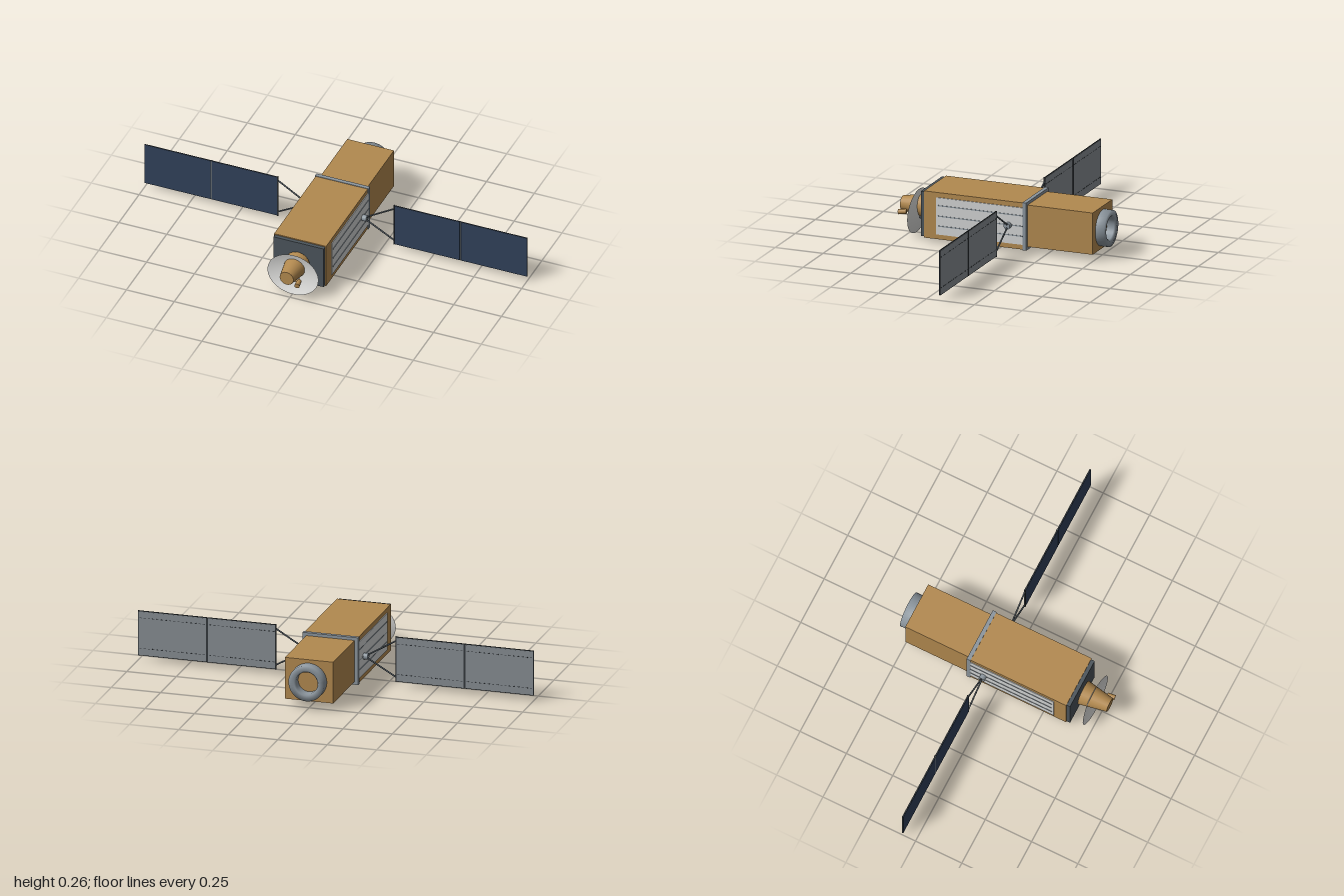
import * as THREE from 'three';

export function createModel() {
  const model = new THREE.Group();
  const mat = (name, color, side = THREE.FrontSide) => {
    const m = new THREE.MeshStandardMaterial({ color, side });
    m.name = name;
    return m;
  };
  const gold = mat('gold foil', 0xb2894f);
  const slate = mat('dark slate', 0x4b545b);
  const steel = mat('steel grey', 0x8b959d);
  const silver = mat('radiator silver', 0xd2d4d4);
  const white = mat('dish white', 0xdcdcda, THREE.DoubleSide);
  const blue = mat('solar blue', 0x31415a);
  const backing = mat('panel backing grey', 0x868d92);
  const dark = mat('dark trim', 0x33383c);

  const add = (name, geometry, material, x = 0, y = 0, z = 0, parent = model) => {
    const mesh = new THREE.Mesh(geometry, material);
    mesh.name = name;
    mesh.position.set(x, y, z);
    parent.add(mesh);
    return mesh;
  };
  const box = (name, w, h, d, material, x, y, z, parent) =>
    add(name, new THREE.BoxGeometry(w, h, d), material, x, y, z, parent);
  // Round rod between two points
  const rod = (name, a, b, r, material, parent, r2 = r) => {
    const from = new THREE.Vector3(...a), to = new THREE.Vector3(...b);
    const dir = to.clone().sub(from);
    const mesh = add(name, new THREE.CylinderGeometry(r2, r, dir.length(), 24), material, 0, 0, 0, parent);
    mesh.position.copy(from).add(to).multiplyScalar(0.5);
    mesh.quaternion.setFromUnitVectors(new THREE.Vector3(0, 1, 0), dir.normalize());
    return mesh;
  };

  const midY = 0.142;

  // Bus
  box('mainBody', 0.272, 0.235, 0.53, gold, 0, midY, 0.11);
  box('rearBody', 0.244, 0.21, 0.36, gold, 0, midY, -0.32);
  box('frontPlate', 0.262, 0.225, 0.02, slate, 0, midY, 0.384);
  box('belt', 0.28, 0.24, 0.02, steel, 0, midY, -0.15);

  // Docking ring with an open centre
  const ring = [[0.055, 0], [0.055, 0.036], [0.062, 0.045], [0.09, 0.045], [0.09, 0]]
    .map(([r, h]) => new THREE.Vector2(r, h));
  const ringGeo = new THREE.LatheGeometry(ring.reverse(), 40);
  const ringMesh = add('rearRing', ringGeo, steel, 0, 0.14, -0.5);
  ringMesh.rotation.x = -Math.PI / 2;

  // Dish: shallow elliptical bowl opening forward, tipped slightly
  const bowl = [];
  for (let i = 0; i <= 8; i++) {
    const r = i / 8;
    bowl.push(new THREE.Vector2(r, 0.022 * r * r));
  }
  const dishGeo = new THREE.LatheGeometry(bowl, 48);
  dishGeo.rotateX(Math.PI / 2);
  dishGeo.scale(0.133, 0.11, 1);
  const dish = add('dish', dishGeo, white, 0, 0.111, 0.442);
  dish.rotation.x = -0.065;

  // Horn through the dish, its mount and small side feed
  rod('horn', [0, midY, 0.4], [0, midY, 0.543], 0.062, gold, model, 0.036);
  rod('hornMount', [0, 0.1, 0.39], [0, 0.1, 0.41], 0.012, slate);
  rod('sideFeed', [0.05, 0.116, 0.503], [0.054, 0.112, 0.543], 0.011, gold, model, 0.013);
  rod('feedLink', [0.025, 0.125, 0.51], [0.052, 0.114, 0.515], 0.006, gold);
  for (const s of [-1, 1])
    rod('dishStrut', [s * 0.03, 0.064, 0.39], [s * 0.02, 0.092, 0.452], 0.005, dark);

  for (const s of [-1, 1]) {
    const side = new THREE.Group();
    side.name = s > 0 ? 'leftSide' : 'rightSide';
    model.add(side);

    // Radiator with its seams
    box('radiator', 0.006, 0.186, 0.45, silver, s * 0.137, midY, 0.085, side);
    for (const y of [0.092, 0.142, 0.195])
      box('radiatorSeam', 0.003, 0.005, 0.44, steel, s * 0.1405, y, 0.08, side);

    // Hub and braces holding the wing
    rod('hub', [s * 0.13, 0.14, -0.068], [s * 0.163, 0.14, -0.068], 0.016, steel, side);
    for (const y of [0.05, 0.235])
      rod('wingBrace', [s * 0.145, 0.14, -0.068], [s * 0.304, y, -0.07], 0.004, slate, side);

    // Wing of two solar panels
    for (const x of [0.4755, 0.8265]) {
      box('panelFrame', 0.347, 0.228, 0.004, dark, s * x, midY, -0.07, side);
      box('solarCells', 0.345, 0.225, 0.002, blue, s * x, midY, -0.0675, side);
      box('panelBack', 0.341, 0.221, 0.002, backing, s * x, midY, -0.0725, side);
      for (const y of [0.065, 0.22])
        for (let i = 0; i < 16; i++)
          box('backDash', 0.011, 0.003, 0.001, dark, s * (x - 0.16 + i * 0.0213), y, -0.0738, side);
    }
    box('panelHinge', 0.01, 0.226, 0.003, dark, s * 0.651, midY, -0.0735, side);
    box('hingeFace', 0.004, 0.226, 0.004, steel, s * 0.651, midY, -0.0695, side);
    box('innerEdge', 0.005, 0.23, 0.008, dark, s * 0.3035, midY, -0.07, side);
  }

  return model;
}
